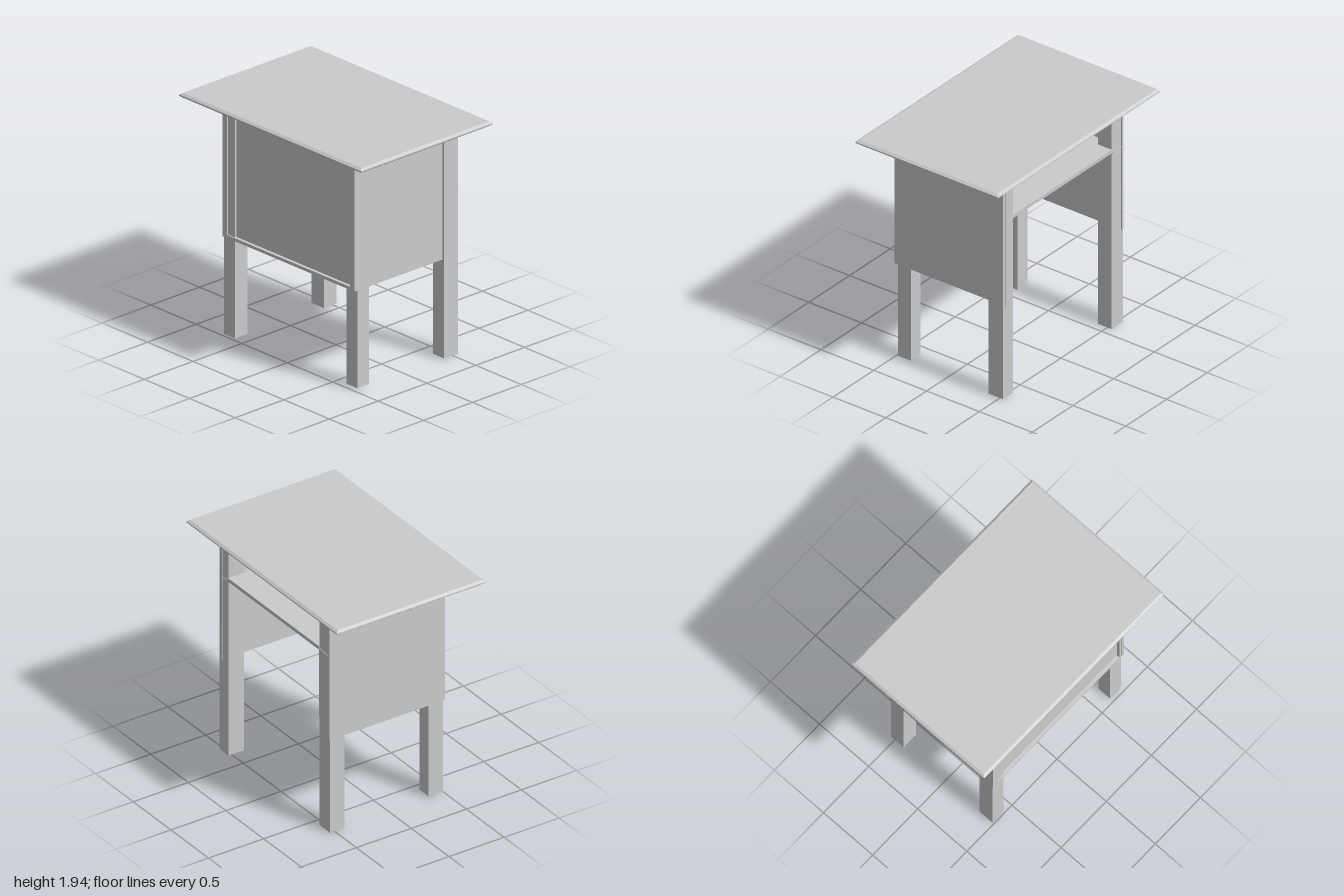
import * as THREE from 'three';

const material = new THREE.MeshStandardMaterial({ color: 0xcccccc, side: THREE.DoubleSide });

export function createModel() {
  const group = new THREE.Group();

  const add = (name, geometry) => {
    const mesh = new THREE.Mesh(geometry, material);
    mesh.name = name;
    group.add(mesh);
    return mesh;
  };

  // Box given by its limits along each axis
  const box = (name, [x0, x1], [y0, y1], [z0, z1]) => {
    const mesh = add(name, new THREE.BoxGeometry(x1 - x0, y1 - y0, z1 - z0));
    mesh.position.set((x0 + x1) / 2, (y0 + y1) / 2, (z0 + z1) / 2);
    return mesh;
  };

  // Table top: a thin slab with chamfered edges above and below
  const w = 0.655, d = 0.98;
  const outline = new THREE.Shape([
    new THREE.Vector2(-w, -d), new THREE.Vector2(w, -d),
    new THREE.Vector2(w, d), new THREE.Vector2(-w, d),
  ]);
  const top = new THREE.ExtrudeGeometry(outline, {
    depth: 0.01, bevelEnabled: true, bevelSegments: 1, bevelSize: 0.02, bevelThickness: 0.015,
  });
  top.rotateX(-Math.PI / 2);
  add('tableTop', top).position.y = 1.915;

  // Legs: three are hollow and open underneath, one is closed
  const legs = [
    ['frontLeftLeg', [0.4, 0.54], 0.01, [0.64, 0.76], true],
    ['backLeftLeg', [0.41, 0.54], 0, [-0.71, -0.572], true],
    ['frontRightLeg', [-0.47, -0.35], 0.015, [0.62, 0.738], false],
    ['backRightLeg', [-0.49, -0.36], 0.012, [-0.705, -0.585], true],
  ];
  for (const [name, x, foot, z, open] of legs) {
    const { geometry } = box(name, x, [foot, 1.9], z);
    if (open) {
      const index = Array.from(geometry.index.array);
      index.splice(18, 6); // bottom face
      geometry.setIndex(index);
      geometry.clearGroups();
    }
  }

  // Thin end panels, showing as slivers through the open-side legs
  box('frontPanel', [-0.502, 0.545], [0.81, 1.9], [0.715, 0.74]);
  box('backPanel', [-0.502, 0.545], [0.81, 1.9], [-0.712, -0.69]);

  // Closed side: recessed panel with a slim frame around it
  box('sidePanel', [-0.474, -0.46], [0.815, 1.9], [-0.7, 0.73]);
  for (const [name, y] of [['bottomRail', [0.81, 0.835]], ['topRail', [1.88, 1.9]]]) {
    box(name, [-0.5, -0.455], y, [-0.7, 0.73]);
  }
  for (const [name, z] of [['frontStile', [0.69, 0.72]], ['backStile', [-0.695, -0.66]]]) {
    box(name, [-0.5, -0.465], [0.812, 1.9], z);
  }

  // Shelf, with thin pointed tips passing across the open-side legs
  box('shelf', [-0.465, 0.543], [1.53, 1.56], [-0.575, 0.64]);
  for (const [name, root, tip] of [['frontShelfTip', 0.64, 0.72], ['backShelfTip', -0.575, -0.69]]) {
    const wedge = new THREE.Shape([
      new THREE.Vector2(-root, 1.53), new THREE.Vector2(-tip, 1.53),
      new THREE.Vector2(-tip, 1.534), new THREE.Vector2(-root, 1.545),
    ]);
    const geometry = new THREE.ExtrudeGeometry(wedge, { depth: 1.01, bevelEnabled: false });
    geometry.rotateY(Math.PI / 2);
    add(name, geometry).position.x = -0.465;
  }

  return group;
}
